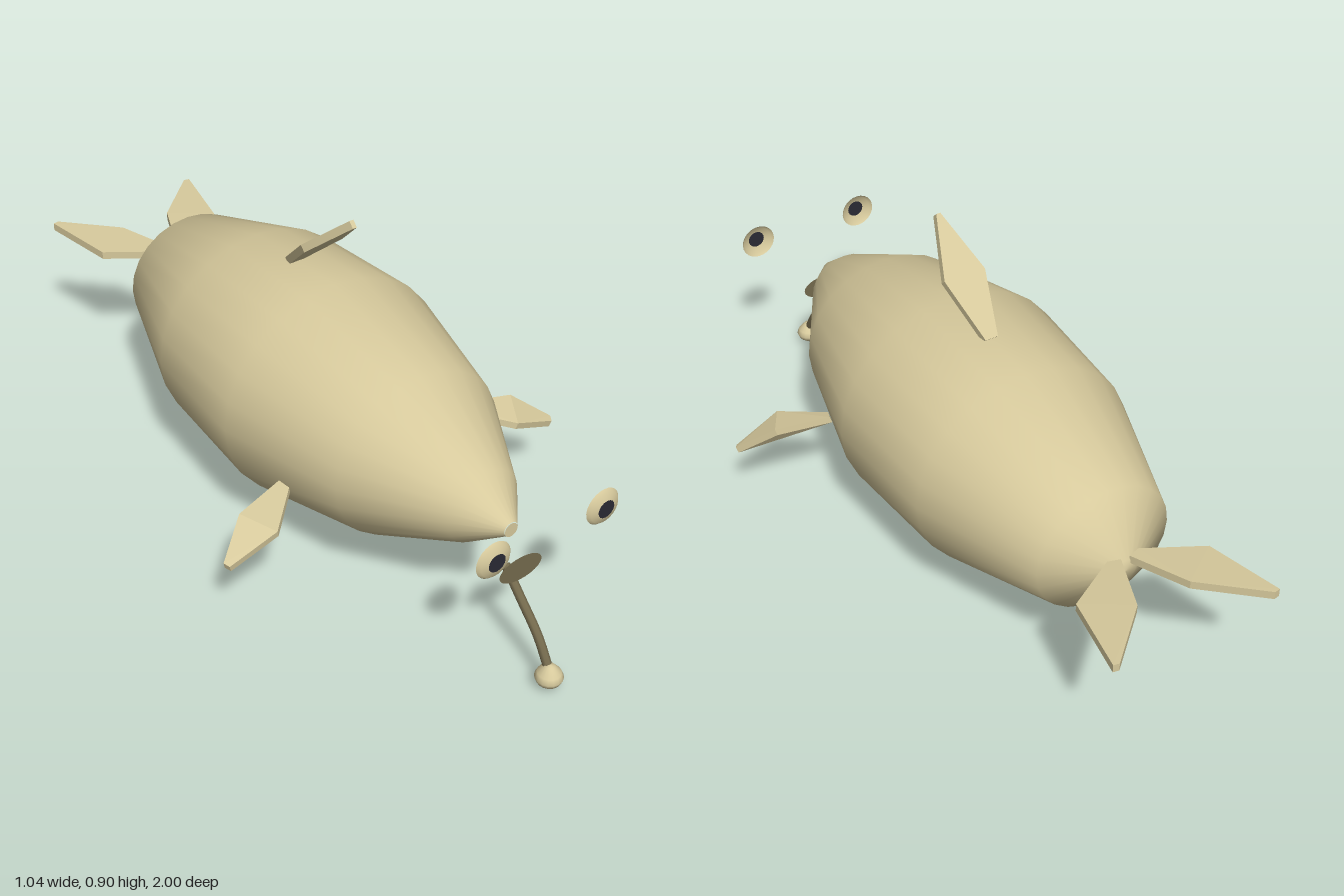
import * as THREE from 'three';
import { ConvexGeometry } from 'three/addons/geometries/ConvexGeometry.js';

const material = (name, color, side = THREE.FrontSide) => {
  const m = new THREE.MeshStandardMaterial({ color, side });
  m.name = name;
  return m;
};
const V = (p) => new THREE.Vector3(...p);
const profile = (pts) => pts.map(([r, h]) => new THREE.Vector2(r, h));

// Thin slab through a four or five cornered outline
function finGeometry(outline, thickness) {
  const half = V(thickness).multiplyScalar(0.5);
  const pts = outline.flatMap((p) => [V(p).add(half), V(p).sub(half)]);
  return new ConvexGeometry(pts);
}

export function createModel() {
  const model = new THREE.Group();
  const skin = material('sandSkin', 0xd6c99c);
  const skinOpen = material('sandSkin', 0xd6c99c, THREE.DoubleSide);
  skinOpen.name = skin.name;
  const olive = material('darkOlive', 0x746a4d, THREE.DoubleSide);
  const dark = material('pupilDark', 0x2a2a34, THREE.DoubleSide);
  const add = (name, geometry, mat, x = 0, y = 0, z = 0) => {
    const mesh = new THREE.Mesh(geometry, mat);
    mesh.name = name;
    mesh.position.set(x, y, z);
    model.add(mesh);
    return mesh;
  };

  // Body: turned around the z axis, slightly wider than tall
  const body = new THREE.LatheGeometry(profile([
    [0, -0.717], [0.03, -0.713], [0.175, -0.62], [0.289, -0.265],
    [0.311, 0.085], [0.23, 0.44], [0.1, 0.69], [0.019, 0.795],
  ]), 24);
  body.rotateX(Math.PI / 2).scale(1.085, 1, 1);
  add('body', body, skin, 0, 0.375, 0);
  add('noseTip', new THREE.CircleGeometry(0.0195, 24), skin, 0, 0.373, 0.796);

  // Dorsal fin, leaning forward
  add('dorsalFin', finGeometry([
    [-0.018, 0.67, -0.1], [0.018, 0.67, -0.1], [0.059, 0.785, 0.03],
    [0.006, 0.897, 0.16], [-0.006, 0.897, 0.16], [-0.059, 0.785, 0.03],
  ], [0, 0.015, -0.015]), skin);

  for (const s of [1, -1]) {
    const side = s > 0 ? 'left' : 'right';
    const mirror = (pts) => pts.map(([x, y, z]) => [x * s, y, z]);

    // Side fin, drooping outward
    add(side + 'SideFin', finGeometry(mirror([
      [0.285, 0.292, 0.25], [0.275, 0.284, 0.28], [0.43, 0.28, 0.29],
      [0.52, 0.212, 0.355], [0.512, 0.207, 0.37], [0.38, 0.262, 0.382],
    ]), [0.005 * s, 0.018, 0.003]), skin);

    // Tail fin
    add(side + 'TailFin', finGeometry(mirror([
      [0.012, 0.402, -0.71], [0.045, 0.402, -0.7], [0.19, 0.408, -0.785],
      [0.233, 0.418, -0.995], [0.217, 0.418, -0.998], [0.075, 0.413, -0.865],
    ]), [0, 0.022, 0]), skin);

    // Eye: shallow open cup with a dark pupil
    const eye = new THREE.LatheGeometry(profile([
      [0.05, 0], [0.042, 0.008], [0.024, 0.014],
    ]), 24).rotateX(Math.PI / 2);
    add(side + 'Eye', eye, skinOpen, 0.164 * s, 0.45, 0.92);
    add(side + 'Pupil', new THREE.CircleGeometry(0.0245, 16), dark, 0.164 * s, 0.45, 0.934);
  }

  // Mouth: thin oval plate
  const mouth = new THREE.CircleGeometry(1, 24).scale(0.065, 0.035, 1);
  add('mouth', mouth, olive, 0, 0.285, 0.838);

  // Hanging stalk and lure
  const path = new THREE.CatmullRomCurve3([
    [0, 0.26, 0.785], [0, 0.2, 0.845], [0, 0.13, 0.915], [0, 0.06, 0.96],
  ].map(V));
  add('lureStalk', new THREE.TubeGeometry(path, 10, 0.012, 8), olive);
  add('lure', new THREE.LatheGeometry(profile([
    [0, 0], [0.03, 0.024], [0.036, 0.038], [0.03, 0.052], [0.012, 0.072], [0, 0.075],
  ]), 16), skin, 0, 0, 0.965);

  return model;
}
